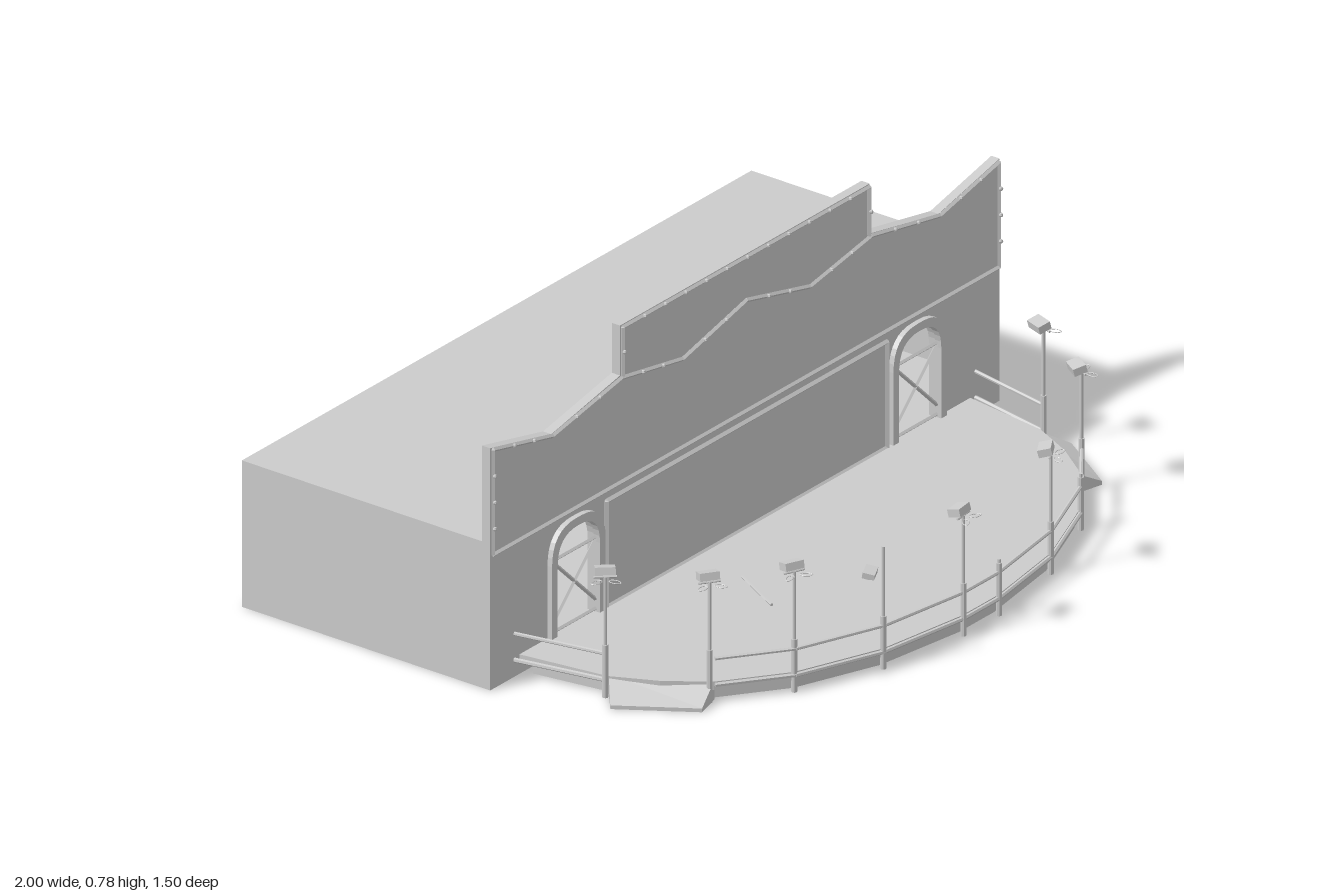
import * as THREE from 'three';

const mat = new THREE.MeshStandardMaterial({ color: 0xcccccc, flatShading: true, side: THREE.DoubleSide });
const V = (x, y, z) => new THREE.Vector3(x, y, z);

export function createModel() {
  const root = new THREE.Group();
  const add = (name, geo, parent = root) => {
    const m = new THREE.Mesh(geo, mat);
    m.name = name;
    parent.add(m);
    return m;
  };
  const box = (name, x0, x1, y0, y1, z0, z1, parent) => {
    const m = add(name, new THREE.BoxGeometry(x1 - x0, y1 - y0, z1 - z0), parent);
    m.position.set((x0 + x1) / 2, (y0 + y1) / 2, (z0 + z1) / 2);
    return m;
  };
  // square or round bar between two points
  const bar = (name, a, b, r, sides = 6, parent) => {
    const m = add(name, new THREE.CylinderGeometry(r, r, a.distanceTo(b), sides), parent);
    m.position.copy(a).add(b).multiplyScalar(0.5);
    m.quaternion.setFromUnitVectors(V(0, 1, 0), b.clone().sub(a).normalize());
    return m;
  };
  const path = (name, pts, r, sides = 6) => {
    for (let i = 1; i < pts.length; i++) bar(name, pts[i - 1], pts[i], r, sides);
  };
  const shapeOf = (pts) => new THREE.Shape(pts.map(([x, y]) => new THREE.Vector2(x, y)));
  const extrude = (shape, depth) => new THREE.ExtrudeGeometry(shape, { depth, bevelEnabled: false, curveSegments: 8 });
  // horizontal slab from a plan in x, z
  const slab = (name, plan, y0, y1) => {
    const g = extrude(shapeOf(plan.map(([x, z]) => [x, -z])), y1 - y0);
    g.rotateX(-Math.PI / 2);
    add(name, g).position.y = y0;
  };

  // Hall behind the facade
  const t = 0.008;
  box('hallRoof', -1, 1, 0.38, 0.39, -0.75, -0.002);
  box('hallBackWall', -1, 1, 0, 0.382, -0.75, -0.75 + t);
  box('hallFloor', -1 + t, 1 - t, 0.045, 0.05, -0.75 + t, -0.02);
  for (const s of [-1, 1]) box('hallSideWall', s - (s > 0 ? t : 0), s + (s < 0 ? t : 0), 0, 0.382, -0.75 + t, -0.002);

  // Facade with two arched doorways
  const archX = 0.67;
  const arch = (P, cx, w, top, r) => {
    const p = new P();
    p.moveTo(cx - w, 0.05);
    p.lineTo(cx - w, top - r);
    p.quadraticCurveTo(cx - w, top, cx - w + r, top);
    p.lineTo(cx + w - r, top);
    p.quadraticCurveTo(cx + w, top, cx + w, top - r);
    p.lineTo(cx + w, 0.05);
    p.closePath();
    return p;
  };
  const skyline = [[-1, 0.645], [-0.76, 0.59], [-0.49, 0.642], [-0.49, 0.775], [0.49, 0.775], [0.49, 0.642], [0.76, 0.59], [1, 0.645]];
  const wall = shapeOf([[-1, 0], ...skyline, [1, 0]]);
  for (const s of [-1, 1]) wall.holes.push(arch(THREE.Path, s * archX, 0.085, 0.32, 0.08));
  add('facade', extrude(wall, 0.025)).position.z = -0.025;

  // Facade trims with small lamps
  const trims = [
    [[-0.993, 0.36], [-0.993, 0.64], [-0.76, 0.587], [-0.49, 0.637], [-0.25, 0.595], [0, 0.655],
      [0.25, 0.595], [0.49, 0.637], [0.76, 0.587], [0.993, 0.64], [0.993, 0.36], [-0.993, 0.36]],
    [[-0.484, 0.64], [-0.484, 0.77], [0.484, 0.77], [0.484, 0.64]],
  ];
  trims.forEach((line, k) => {
    const pts = line.map(([x, y]) => V(x, y, 0.004));
    path('facadeTrim', pts, 0.006, 4);
    for (let i = 1; i < pts.length - (k ? 0 : 1); i++) {
      const n = Math.max(2, Math.round(pts[i].distanceTo(pts[i - 1]) / 0.08));
      for (let j = 1; j < n; j++) {
        const lamp = add('trimLamp', new THREE.SphereGeometry(0.006, 6, 4));
        lamp.position.lerpVectors(pts[i - 1], pts[i], j / n).setZ(0.009);
      }
    }
  });

  // Large backdrop frame
  const f = [[-0.55, 0.05], [-0.55, 0.333], [0.55, 0.333], [0.55, 0.05], [-0.55, 0.05]];
  path('backdropFrame', f.map(([x, y]) => V(x, y, 0.006)), 0.007, 4);

  // Arched door surrounds and crossed braces
  for (const s of [-1, 1]) {
    const c = s * archX;
    const surround = arch(THREE.Shape, c, 0.105, 0.34, 0.095);
    surround.holes.push(arch(THREE.Path, c, 0.083, 0.318, 0.08));
    add('doorSurround', extrude(surround, 0.018)).position.z = -0.004;
    for (const d of [-1, 1]) {
      bar('doorBrace', V(c - 0.083, 0.165 - d * 0.08, 0), V(c + 0.083, 0.165 + d * 0.08, 0), 0.005, 4);
    }
    for (const y of [0.06, 0.25]) bar('doorCrossbar', V(c - 0.083, y, 0), V(c + 0.083, y, 0), 0.005, 4);
  }

  // Curved stage
  const half = [[0.07, 0.71], [0.33, 0.67], [0.56, 0.58], [0.72, 0.46], [0.795, 0.355], [0.85, 0.24]];
  const mirror = ([x, z]) => [-x, z];
  const front = [...half.map(mirror).reverse(), ...half];
  slab('stageDeck', [[-0.885, 0], ...front, [0.885, 0]], 0.03, 0.052);
  slab('stageBase', [[-0.87, 0.03], ...front.map(([x, z]) => [x * 0.985, z * 0.985]), [0.87, 0.03]], 0.004, 0.03);

  // Side ramps, each a wedge from the deck to the ground
  for (const s of [-1, 1]) {
    const c = [[0.84, 0.052, 0.235], [0.71, 0.052, 0.455], [0.785, 0.01, 0.475], [0.905, 0.01, 0.29]];
    const v = [...c, ...c.map(([x, y, z]) => [x, 0, z])].flatMap(([x, y, z]) => [s * x, y, z]);
    const idx = [0, 1, 2, 0, 2, 3, 4, 6, 5, 4, 7, 6];
    for (let i = 0; i < 4; i++) {
      const j = (i + 1) % 4;
      idx.push(i, i + 4, j + 4, i, j + 4, j);
    }
    if (s < 0) idx.reverse();
    const g = new THREE.BufferGeometry();
    g.setAttribute('position', new THREE.Float32BufferAttribute(v, 3));
    g.setIndex(idx);
    const ramp = g.toNonIndexed();
    ramp.computeVertexNormals();
    add('ramp', ramp);
  }

  // Railings, left open at the ramps
  const curve = [...half.slice(0, 4).map(mirror).reverse(), ...half.slice(0, 4)];
  for (const [y, r] of [[0.115, 0.005], [0.045, 0.006]]) {
    path('frontRail', curve.map(([x, z]) => V(x, y, z + 0.004)), r);
    for (const s of [-1, 1]) bar('sideRail', V(s * 0.905, y, 0), V(s * 0.858, y, 0.24), r);
  }

  // Floodlight: head, yoke and open wire shields
  const floodlight = (x, z) => {
    const g = new THREE.Group();
    g.name = 'floodlight';
    g.position.set(x, 0.32, z);
    g.rotation.y = Math.atan2(x, z) * 0.8 + 0.2;
    const head = add('lampHead', new THREE.BoxGeometry(0.05, 0.02, 0.034), g);
    head.position.set(0, 0.012, -0.012);
    head.rotation.x = -0.25;
    bar('lampYoke', V(-0.028, 0, 0), V(0.028, 0, 0), 0.003, 6, g);
    for (const s of [-1, 1]) {
      const loop = add('wireShield', new THREE.TorusGeometry(0.011, 0.0012, 4, 12), g);
      loop.scale.set(1.4, 0.8, 1);
      loop.rotation.set(-Math.PI / 2, 0, s * -0.6);
      loop.position.set(s * 0.022, -0.005, 0.02);
    }
    root.add(g);
  };

  // Posts: x, z, height; the lit ones carry a floodlight
  const posts = [
    [-0.86, 0.24, 0.32, 1], [-0.73, 0.455, 0.32, 1], [-0.56, 0.58, 0.32, 1], [-0.33, 0.672, 0.325, 0],
    [-0.07, 0.714, 0.32, 1], [0.07, 0.714, 0.15, 0], [0.325, 0.674, 0.32, 1], [0.56, 0.584, 0.15, 0],
    [0.73, 0.455, 0.32, 1], [0.86, 0.24, 0.32, 1],
  ];
  for (const [x, z, h, lit] of posts) {
    bar('postSleeve', V(x, 0, z), V(x, 0.14, z), 0.0075, 8);
    bar('post', V(x, 0.13, z), V(x, h, z), 0.0045, 8);
    if (lit) floodlight(x, z);
  }

  // Loose items on the deck
  bar('floorPole', V(-0.31, 0.057, 0.32), V(-0.23, 0.057, 0.17), 0.004);
  const monitor = add('floorMonitor', new THREE.BoxGeometry(0.042, 0.016, 0.03));
  monitor.position.set(-0.035, 0.062, 0.405);
  monitor.rotation.set(0.2, 0.45, 0);

  return root;
}
